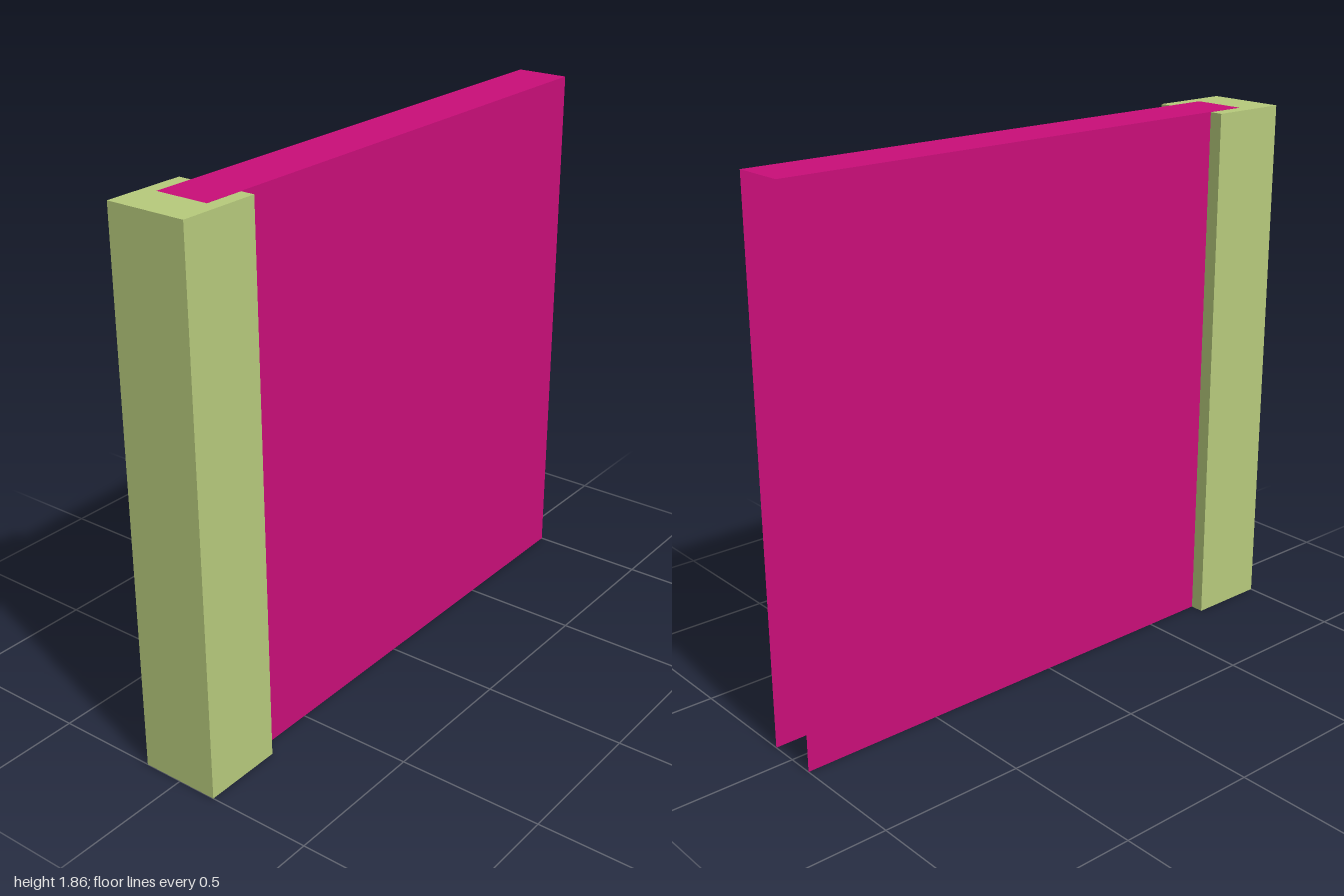
import * as THREE from 'three';

// Box face order: +x, -x, +y, -y, +z, -z (six indices each)
const FACES = ['left', 'right', 'top', 'bottom', 'front', 'back'];

// Thin shell box standing on y = 0, with the listed faces left open
function openBox(name, color, width, height, zMin, zMax, open) {
  const geometry = new THREE.BoxGeometry(width, height, zMax - zMin);
  const index = Array.from(geometry.index.array);
  geometry.setIndex(index.filter((_, i) => !open.includes(FACES[Math.floor(i / 6)])));
  geometry.clearGroups();
  geometry.translate(0, height / 2, (zMin + zMax) / 2);
  const material = new THREE.MeshStandardMaterial({ color, side: THREE.DoubleSide });
  const mesh = new THREE.Mesh(geometry, material);
  mesh.name = name;
  return mesh;
}

export function createModel() {
  const model = new THREE.Group();
  model.name = 'wallWithPost';

  // Square end post, hollow and open underneath; a hair lower than the wall top
  model.add(openBox('post', 0xb7ca7c, 0.28, 1.859, 0.72, 1, ['bottom']));

  // Hollow wall: two side panels and a top, running into the middle of the post
  model.add(openBox('wall', 0xc90e79, 0.185, 1.86, -1, 0.86, ['bottom', 'front', 'back']));

  return model;
}
